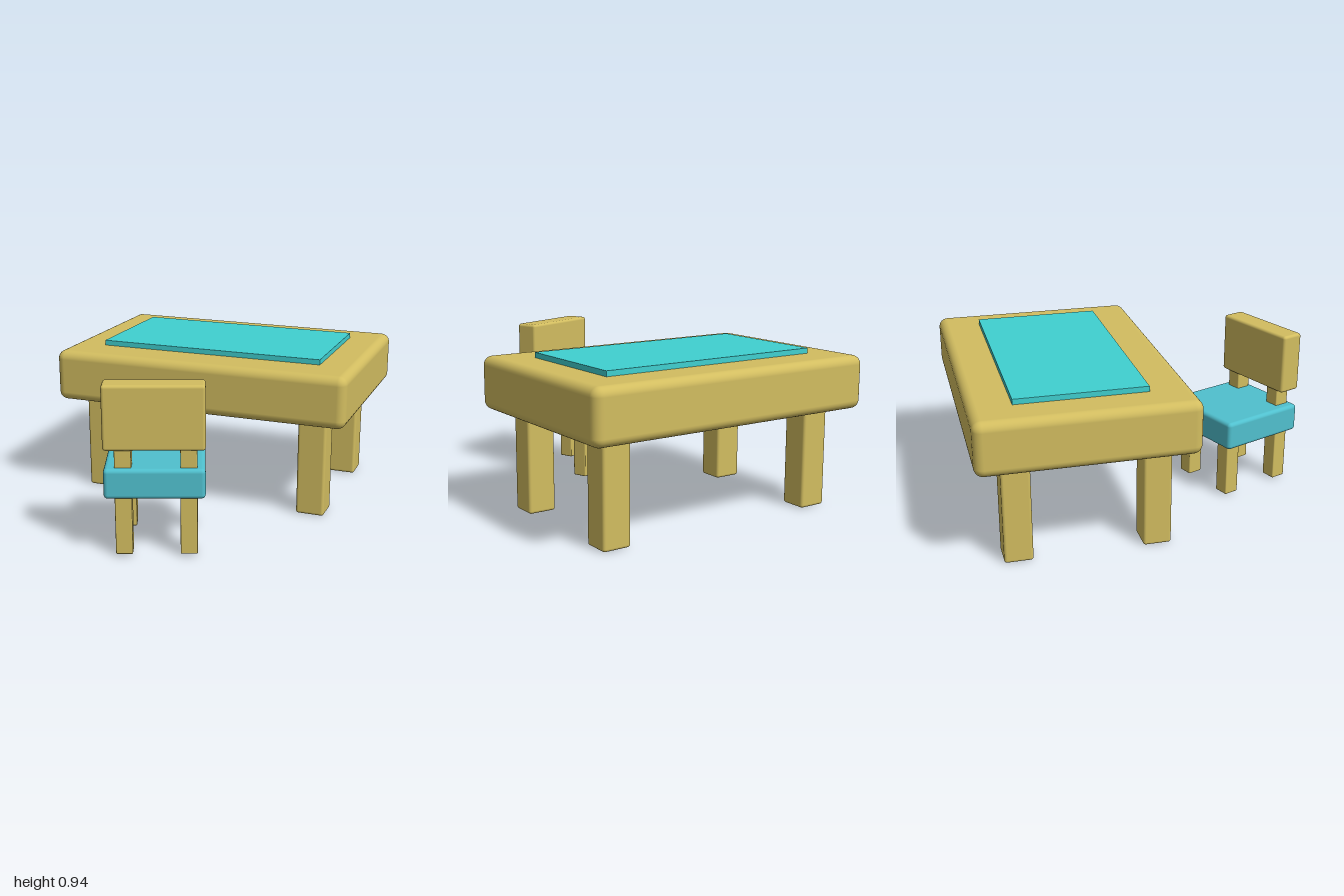
import * as THREE from 'three';
import { RoundedBoxGeometry } from 'three/addons/geometries/RoundedBoxGeometry.js';

const material = (color) => new THREE.MeshStandardMaterial({ color });

export function createModel() {
  const model = new THREE.Group();
  model.name = 'deskAndChair';
  const wood = material(0xd2bd60);
  const teal = material(0x50c0ce);
  const matTeal = material(0x40d0d0);

  // Box spanning y0..y1, centred on x, z; radius 0 keeps sharp edges
  function block(parent, name, mat, [w, d], [y0, y1], [x, z], radius) {
    const geometry = radius
      ? new RoundedBoxGeometry(w, y1 - y0, d, 4, radius)
      : new THREE.BoxGeometry(w, y1 - y0, d);
    const mesh = new THREE.Mesh(geometry, mat);
    mesh.name = name;
    mesh.position.set(x, (y0 + y1) / 2, z);
    parent.add(mesh);
  }

  // Desk: thick rounded top, inset mat, four square legs
  const desk = new THREE.Group();
  desk.name = 'desk';
  desk.position.z = -0.405;
  block(desk, 'deskTop', wood, [1.76, 1.19], [0.57, 0.87], [0, 0], 0.05);
  block(desk, 'deskMat', matTeal, [1.34, 0.72], [0.86, 0.9], [0, -0.005], 0);
  for (const x of [-0.665, 0.665]) {
    for (const z of [-0.375, 0.385]) {
      block(desk, 'deskLeg', wood, [0.165, 0.157], [0, 0.6], [x, z], 0.016);
    }
  }
  model.add(desk);

  // Chair: turned slightly, facing the desk, backrest away from it
  const chair = new THREE.Group();
  chair.name = 'chair';
  chair.position.set(-0.03, 0, 0.662);
  chair.rotation.y = THREE.MathUtils.degToRad(21.2);
  block(chair, 'chairSeat', teal, [0.53, 0.53], [0.328, 0.492], [0, 0], 0.022);
  block(chair, 'chairBackrest', wood, [0.53, 0.134], [0.592, 0.94], [0, 0.197], 0.016);
  for (const x of [-0.164, 0.178]) {
    block(chair, 'chairFrontLeg', wood, [0.09, 0.09], [0.01, 0.36], [x, -0.18], 0.006);
    block(chair, 'chairBackLeg', wood, [0.09, 0.09], [0.01, 0.36], [x, 0.198], 0.006);
    block(chair, 'backrestPost', wood, [0.088, 0.088], [0.46, 0.62], [x, 0.192], 0.006);
  }
  model.add(chair);

  return model;
}
